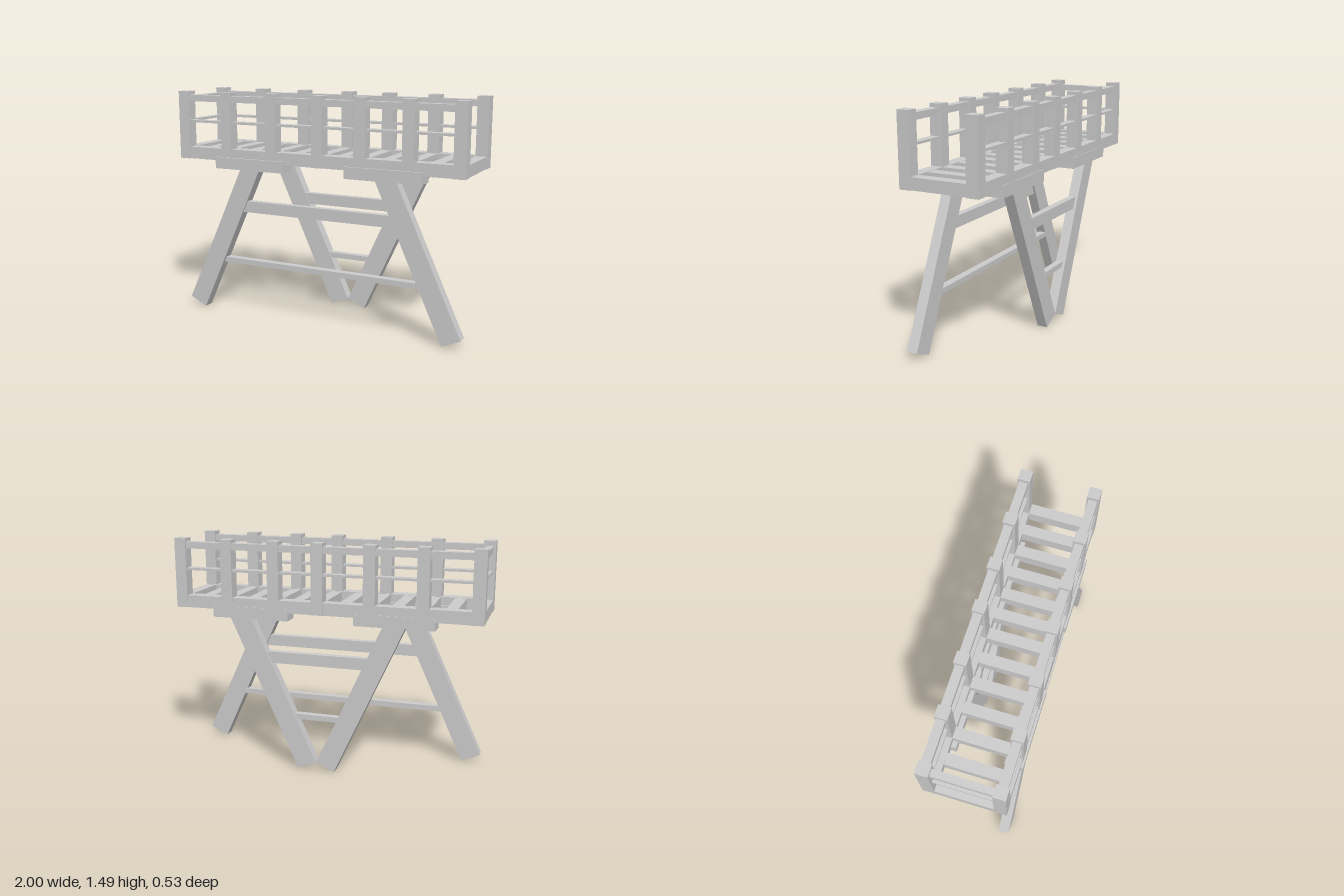
import * as THREE from 'three';

export function createModel() {
  const model = new THREE.Group();
  const material = new THREE.MeshStandardMaterial({ color: 0xcccccc, flatShading: true });

  // Box given by its limits on each axis
  function box(name, [x0, x1], [y0, y1], [z0, z1]) {
    const mesh = new THREE.Mesh(new THREE.BoxGeometry(x1 - x0, y1 - y0, z1 - z0), material);
    mesh.name = name;
    mesh.position.set((x0 + x1) / 2, (y0 + y1) / 2, (z0 + z1) / 2);
    model.add(mesh);
  }

  // Slanted leg: square-cut foot, level top hidden in the saddle block
  function leg(name, footX, dir, [z0, z1]) {
    const shape = new THREE.Shape([
      [0, 0], [0.12, 0.055], [-0.315, 1.0], [-0.457, 1.0],
    ].map(([x, y]) => new THREE.Vector2(footX + dir * x, y)));
    const geometry = new THREE.ExtrudeGeometry(shape, { depth: z1 - z0, bevelEnabled: false });
    geometry.translate(0, 0, z0);
    const mesh = new THREE.Mesh(geometry, material);
    mesh.name = name;
    model.add(mesh);
  }

  // Side frames: posts, floor beam, two rails and saddle blocks
  const postX = [-0.962, -0.63, -0.297, 0.038, 0.328, 0.645, 0.962];
  const sides = [
    { name: 'front', post: [0.178, 0.255], beam: [0.172, 0.25], rail: [0.19, 0.245], block: [0.152, 0.266] },
    { name: 'back', post: [-0.263, -0.185], beam: [-0.26, -0.183], rail: [-0.253, -0.197], block: [-0.266, -0.152] },
  ];
  for (const s of sides) {
    for (const x of postX) box(s.name + 'Post', [x - 0.038, x + 0.038], [1.035, 1.485], s.post);
    box(s.name + 'FloorBeam', [-0.995, 0.995], [1.036, 1.115], s.beam);
    box(s.name + 'TopRail', [-0.98, 0.98], [1.42, 1.462], s.rail);
    box(s.name + 'MiddleRail', [-0.98, 0.98], [1.28, 1.295], s.rail);
    for (const x of [-0.455, 0.485]) {
      box(s.name + 'SaddleBlock', [x - 0.255, x + 0.255], [0.985, 1.06], s.block);
    }
  }

  // Floor slats, one under each post and one between
  postX.forEach((x, i) => {
    const slats = i < postX.length - 1 ? [x, (x + postX[i + 1]) / 2] : [x];
    for (const c of slats) box('floorSlat', [c - 0.04 + 0.003, c + 0.037], [1.038, 1.113], [-0.2, 0.2]);
  });

  // Rails closing one end
  box('endTopRail', [-0.985, -0.94], [1.41, 1.452], [-0.2, 0.2]);
  box('endMiddleRail', [-0.985, -0.94], [1.28, 1.295], [-0.2, 0.2]);

  // Legs: splayed outward at the front, inward at the back
  const frontZ = [0.175, 0.245], backZ = [-0.263, -0.195];
  leg('frontRightLeg', -0.84, -1, frontZ);
  leg('frontLeftLeg', 0.88, 1, frontZ);
  leg('backRightLeg', -0.075, 1, backZ);
  leg('backLeftLeg', 0.17, -1, backZ);

  // Braces between the legs
  box('frontUpperBrace', [-0.54, 0.56], [0.7, 0.775], [0.19, 0.235]);
  box('frontLowerBrace', [-0.7, 0.735], [0.335, 0.37], [0.173, 0.225]);
  box('backUpperBrace', [-0.38, 0.485], [0.7, 0.775], [-0.245, -0.2]);
  box('backLowerBrace', [-0.2, 0.27], [0.335, 0.37], [-0.245, -0.2]);

  return model;
}
